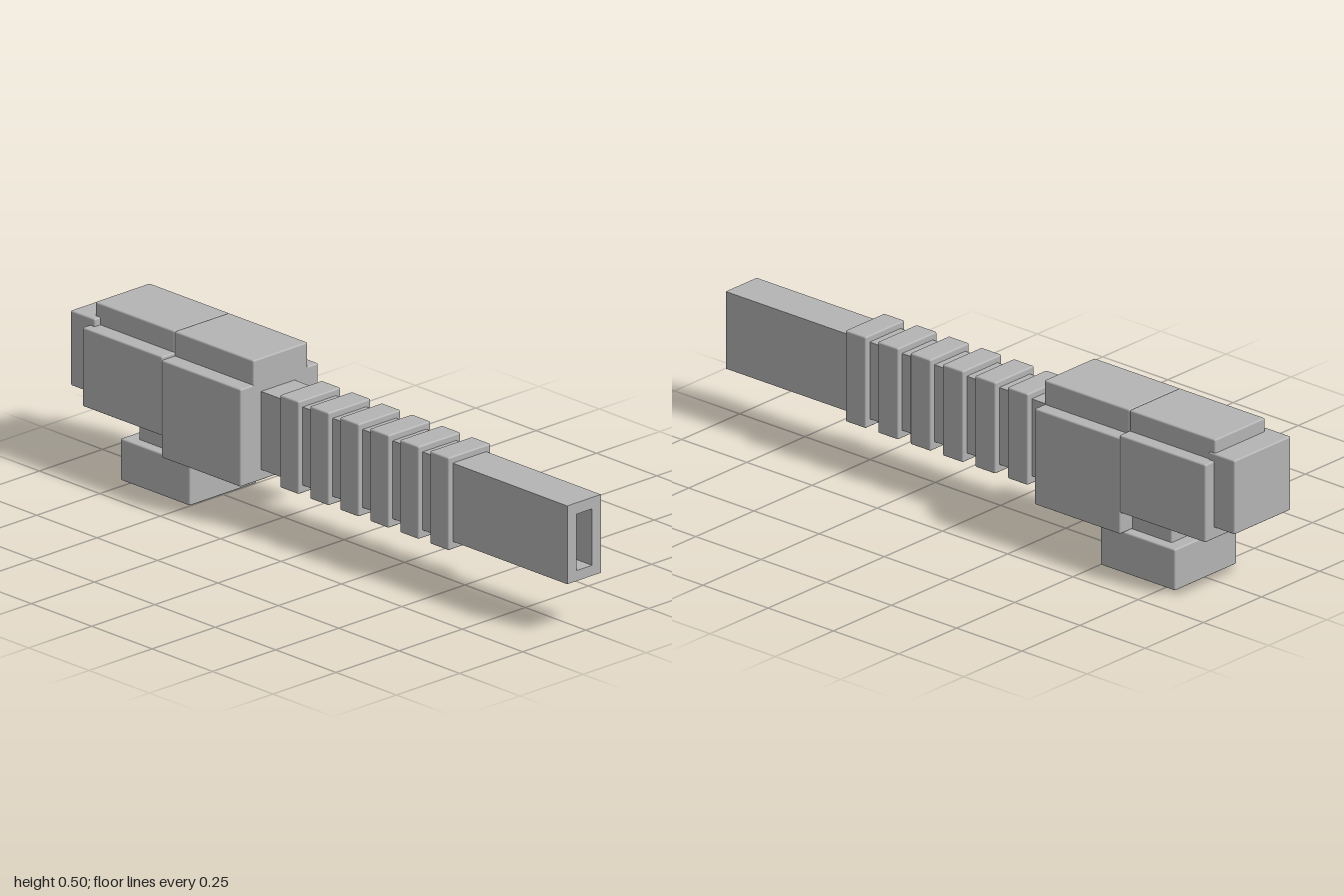
import * as THREE from 'three';
import { RoundedBoxGeometry } from 'three/addons/geometries/RoundedBoxGeometry.js';

const grey = new THREE.MeshStandardMaterial({ color: 0xb4b4b4 });
grey.name = 'plain grey';

// Softly bevelled block given by its limits on each axis
function block(name, [x0, x1], [y0, y1], [z0, z1], bevel = 0.005) {
  const mesh = new THREE.Mesh(new RoundedBoxGeometry(x1 - x0, y1 - y0, z1 - z0, 2, bevel), grey);
  mesh.position.set((x0 + x1) / 2, (y0 + y1) / 2, (z0 + z1) / 2);
  mesh.name = name;
  return mesh;
}

function rectangle(path, x0, x1, y0, y1) {
  path.moveTo(x0, y0);
  path.lineTo(x1, y0);
  path.lineTo(x1, y1);
  path.lineTo(x0, y1);
  path.closePath();
  return path;
}

export function createModel() {
  const model = new THREE.Group();
  model.name = 'model';

  // Hollow front of the barrel, with a rectangular bore
  const outline = rectangle(new THREE.Shape(), -0.073, 0.06, 0.16, 0.4);
  outline.holes.push(rectangle(new THREE.Path(), -0.037, 0.025, 0.192, 0.365));
  const muzzle = new THREE.Mesh(
    new THREE.ExtrudeGeometry(outline, { depth: 0.5, bevelEnabled: false }), grey);
  muzzle.position.z = 0.5;
  muzzle.name = 'muzzle';
  model.add(muzzle);

  // Solid rear of the barrel
  model.add(block('barrel', [-0.073, 0.06], [0.16, 0.4], [-0.3, 0.502], 0.001));

  // Evenly spaced grip ribs
  for (let i = 0; i < 6; i++) {
    const front = 0.526 - i * 0.1242;
    model.add(block('rib', [-0.09, 0.078], [0.136, 0.42], [front - 0.078, front]));
  }

  // Housing in two halves, each with a raised lid
  model.add(block('frontHousing', [-0.155, 0.154], [0.128, 0.427], [-0.595, -0.267]));
  model.add(block('rearHousing', [-0.155, 0.154], [0.195, 0.437], [-0.922, -0.592]));
  model.add(block('frontLid', [-0.104, 0.112], [0.4, 0.502], [-0.594, -0.267]));
  model.add(block('rearLid', [-0.104, 0.112], [0.4, 0.502], [-0.922, -0.594]));
  model.add(block('endCap', [-0.127, 0.116], [0.23, 0.46], [-1, -0.9]));

  // Neck and foot below the housing
  model.add(block('neck', [-0.1, 0.1], [0.11, 0.21], [-0.745, -0.58]));
  model.add(block('foot', [-0.133, 0.133], [0, 0.128], [-0.787, -0.5]));

  return model;
}
